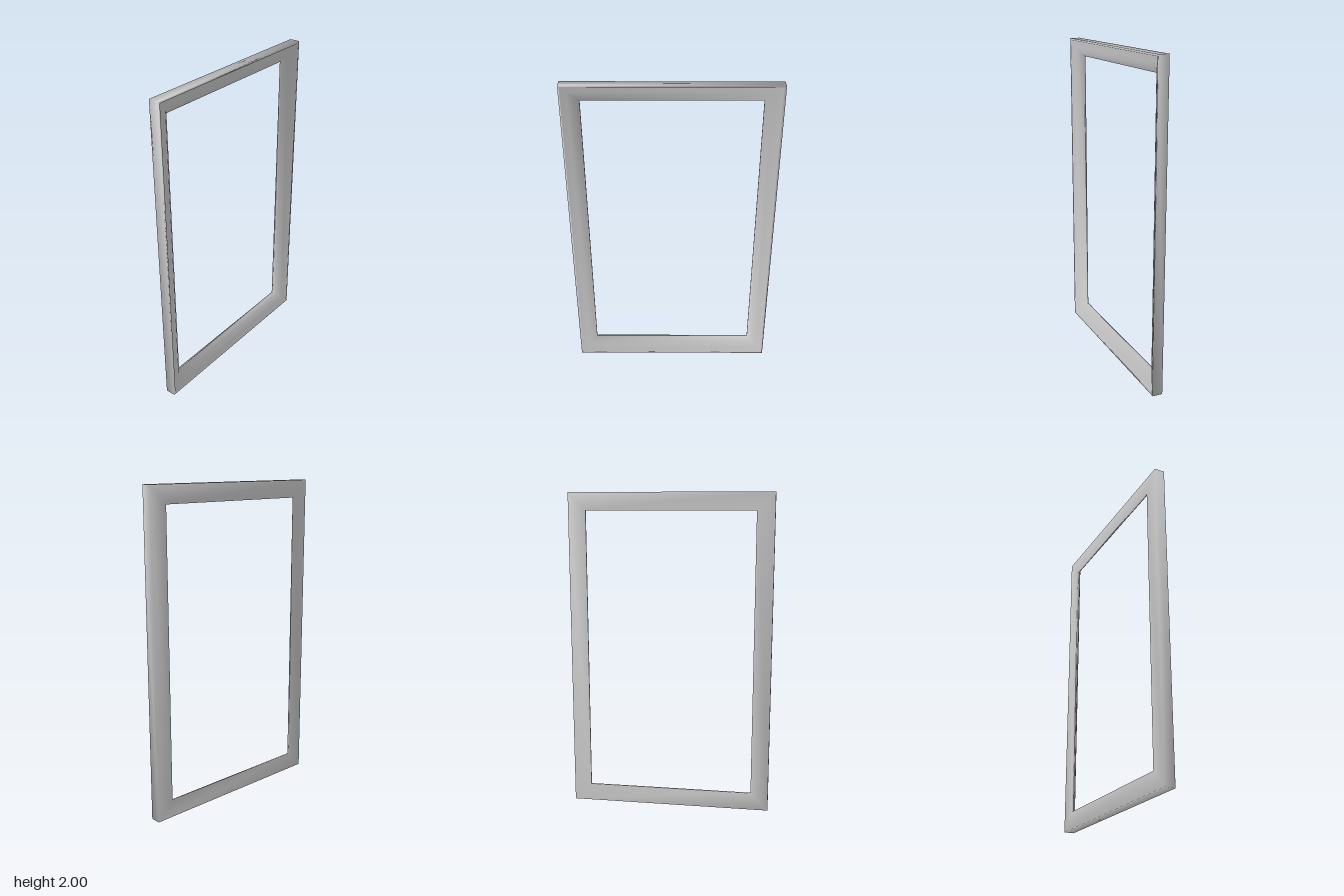
import * as THREE from 'three';

const HALF_W = 0.635, HEIGHT = 2;

// Moulding cross-section: [inset from the outer edge, z], from outer back round to inner back
const PROFILE = [
  [0, -0.032], [0, 0.032], [0.012, 0.032], [0.016, 0.025],
  [0.045, 0.019], [0.08, 0.002], [0.11, -0.02], [0.11, -0.032],
];
const CORNERS = [[-1, -1], [1, -1], [1, 1], [-1, 1]];

// Sweeps the cross-section round a rectangle with mitred corners
function mitredFrame() {
  const positions = [], index = [], n = PROFILE.length;
  for (const [inset, z] of PROFILE) {
    for (const [sx, sy] of CORNERS) {
      positions.push(sx * (HALF_W - inset), HEIGHT / 2 + sy * (HEIGHT / 2 - inset), z);
    }
  }
  for (let i = 0; i < n; i++) {
    const next = (i + 1) % n;
    for (let j = 0; j < 4; j++) {
      const k = (j + 1) % 4;
      const a = i * 4 + j, b = i * 4 + k, c = next * 4 + k, d = next * 4 + j;
      index.push(a, b, c, a, c, d);
    }
  }
  const geometry = new THREE.BufferGeometry();
  geometry.setAttribute('position', new THREE.Float32BufferAttribute(positions, 3));
  geometry.setIndex(index);
  geometry.computeVertexNormals(); // soft shading across the shared corners
  return geometry;
}

export function createModel() {
  const group = new THREE.Group();
  group.name = 'pictureFrame';
  const moulding = new THREE.Mesh(
    mitredFrame(),
    new THREE.MeshStandardMaterial({ color: 0xcccccc }),
  );
  moulding.name = 'frameMoulding';
  group.add(moulding);
  return group;
}
